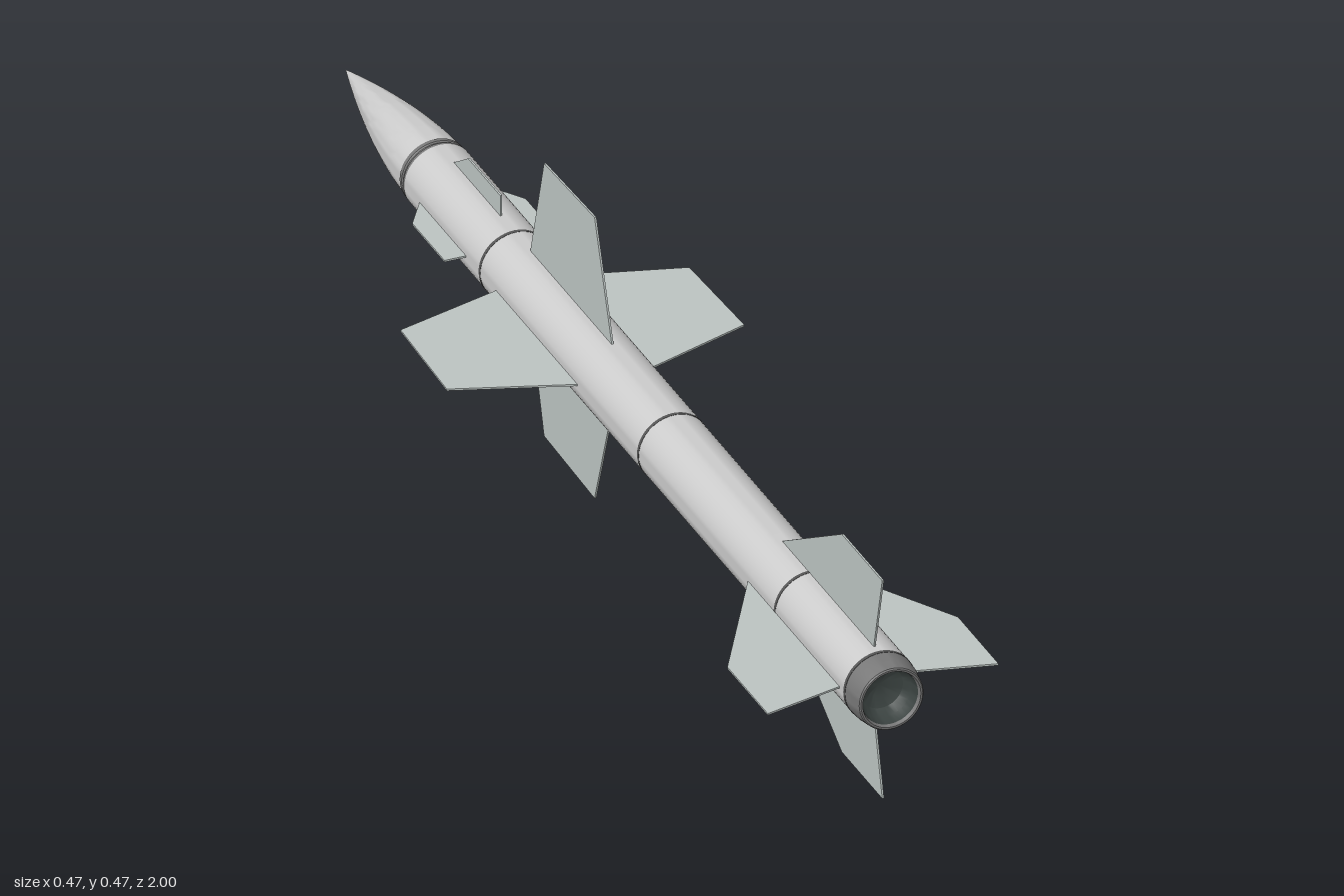
import * as THREE from 'three';
import { toCreasedNormals } from 'three/addons/utils/BufferGeometryUtils.js';

const R = 0.056;        // body radius
const AXIS_Y = 0.236;   // height of the long axis

const bodyMat = new THREE.MeshStandardMaterial({ color: 0xcccccc });
const finMat = new THREE.MeshStandardMaterial({ color: 0xbcc4c2 });
const bandMat = new THREE.MeshStandardMaterial({ color: 0x555555 });
const collarMat = new THREE.MeshStandardMaterial({ color: 0x777777 });
const darkMat = new THREE.MeshStandardMaterial({ color: 0x3a4240 });

// Part turned about the long axis; points are [radius, z] with z rising on the outside
function turned(name, points, material) {
  const lathe = new THREE.LatheGeometry(points.map(([r, z]) => new THREE.Vector2(r, z)), 48);
  const mesh = new THREE.Mesh(toCreasedNormals(lathe, 0.5), material);
  mesh.name = name;
  mesh.rotation.x = Math.PI / 2;
  return mesh;
}

// Four thin fins around the axis; outline points are [radius, z]
function finSet(name, outline, thickness) {
  const set = new THREE.Group();
  set.name = name;
  const shape = new THREE.Shape(outline.map(([r, z]) => new THREE.Vector2(r, z)));
  const geometry = new THREE.ExtrudeGeometry(shape, { depth: thickness, bevelEnabled: false });
  geometry.translate(0, 0, -thickness / 2);
  geometry.rotateX(Math.PI / 2);
  for (let i = 0; i < 4; i++) {
    const fin = new THREE.Mesh(geometry, finMat);
    fin.name = name.replace(/s$/, '') + (i + 1);
    fin.rotation.z = i * Math.PI / 2;
    set.add(fin);
  }
  return set;
}

export function createModel() {
  const model = new THREE.Group();
  model.name = 'missile';
  const missile = new THREE.Group();
  missile.name = 'airframe';
  missile.position.y = AXIS_Y;
  model.add(missile);

  // Pointed ogive nose
  const nose = [];
  for (let i = 0; i <= 20; i++) {
    const t = i / 20;
    nose.push([0.054 * (1 - Math.pow(1 - t, 1.65)), -1 + 0.325 * t]);
  }
  missile.add(turned('noseCone', nose, bodyMat));

  // Stepped collar behind the nose
  missile.add(turned('noseCollar', [
    [0.05, -0.677], [0.055, -0.675], [0.055, -0.668], [0.053, -0.666],
    [0.053, -0.662], [R, -0.66], [R, -0.655],
  ], collarMat));

  // Main tube
  missile.add(turned('bodyTube', [[R, -0.655], [R, 0.955]], bodyMat));

  // Section joints
  for (const z of [-0.38, 0.2, 0.7, 0.955]) {
    missile.add(turned('jointBand', [
      [R - 0.001, z - 0.003], [R + 0.0004, z - 0.003],
      [R + 0.0004, z + 0.003], [R - 0.001, z + 0.003],
    ], bandMat));
  }

  // Tail ring tapering to the exhaust lip
  missile.add(turned('tailRing', [
    [R, 0.957], [0.055, 0.975], [0.051, 0.998], [0.049, 1], [0.046, 1], [0.044, 0.994],
  ], collarMat));

  // Recessed exhaust
  missile.add(turned('exhaustNozzle', [
    [0.044, 0.994], [0.042, 0.975], [0.034, 0.962], [0.018, 0.954], [0, 0.952],
  ], darkMat));

  // Fins: small front ones, wide middle ones, swept rear ones
  missile.add(finSet('frontFins', [
    [0.05, -0.6], [R, -0.6], [0.09, -0.548], [0.09, -0.43], [0.05, -0.43],
  ], 0.003));
  missile.add(finSet('middleFins', [
    [0.05, -0.322], [R, -0.32], [0.229, -0.27], [0.236, -0.085], [R, -0.022], [0.05, -0.02],
  ], 0.003));
  missile.add(finSet('tailFins', [
    [0.05, 0.6], [R, 0.602], [0.183, 0.82], [0.183, 0.968], [R, 0.937], [0.05, 0.935],
  ], 0.003));

  return model;
}
